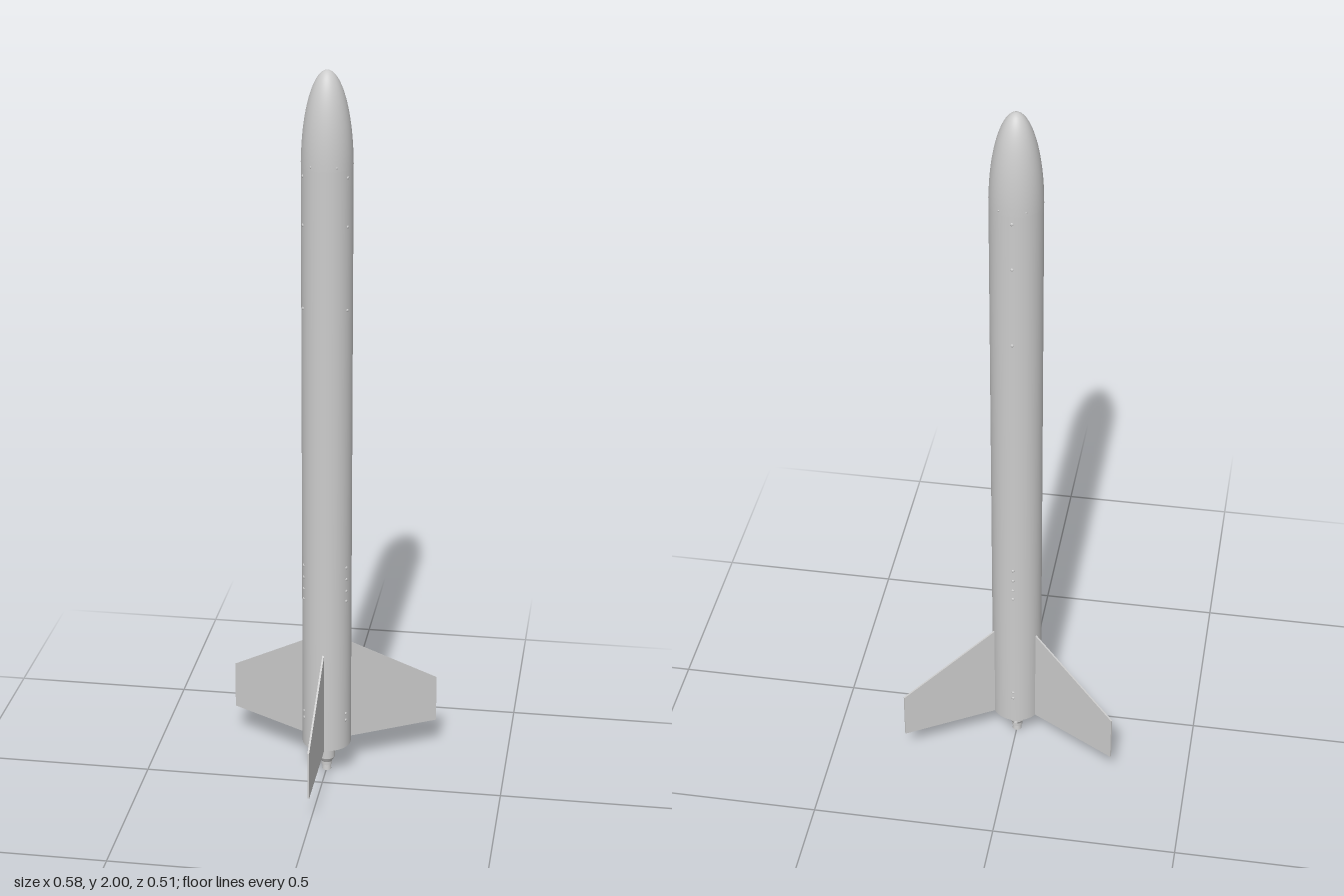
import * as THREE from 'three';

const R = 0.068;          // body radius
const BASE = 0.09;        // height of the body's open tail
const NOSE = 1.75;        // where the nose cone begins

export function createModel() {
  const root = new THREE.Group();
  root.name = 'rocket';
  const axis = new THREE.Group();   // everything sits around the body axis
  axis.name = 'airframe';
  axis.position.z = -0.085;
  root.add(axis);

  const grey = new THREE.MeshStandardMaterial({ color: 0xcccccc });
  const greyDouble = new THREE.MeshStandardMaterial({ color: 0xcccccc, side: THREE.DoubleSide });
  const add = (name, geometry, parent = axis, material = grey) => {
    const mesh = new THREE.Mesh(geometry, material);
    mesh.name = name;
    parent.add(mesh);
    return mesh;
  };
  const lathe = (points, segments = 48) =>
    new THREE.LatheGeometry(points.map(([r, y]) => new THREE.Vector2(r, y)), segments);

  // Body tube
  const tube = add('bodyTube', new THREE.CylinderGeometry(R, R, NOSE - BASE, 64, 1, true));
  tube.position.y = (NOSE + BASE) / 2;

  // Half-ellipse nose cone
  const nose = [];
  for (let i = 0; i <= 20; i++) {
    const a = (i / 20) * Math.PI / 2;
    nose.push([Math.max(0, R * Math.cos(a)), NOSE + 0.25 * Math.sin(a)]);
  }
  add('noseCone', lathe(nose, 64));

  // Open tail: flat rim and a hollow funnel up to the motor
  add('tailRim', new THREE.RingGeometry(0.062, R, 64).rotateX(Math.PI / 2).translate(0, BASE, 0));
  add('tailRecess', lathe([[0.062, BASE], [0.06, 0.1], [0.022, 0.16]]), axis, greyDouble);

  // Motor case with stepped nozzle
  const motor = new THREE.Group();
  motor.name = 'motor';
  axis.add(motor);
  const stack = [ // name, top radius, bottom radius, top, bottom
    ['motorCase', 0.023, 0.023, 0.17, 0.04],
    ['motorTaper', 0.023, 0.015, 0.04, 0.026],
    ['nozzleNeck', 0.015, 0.015, 0.026, 0.016],
    ['nozzle', 0.011, 0.013, 0.016, 0],
  ];
  for (const [name, top, bottom, y1, y0] of stack) {
    add(name, new THREE.CylinderGeometry(top, bottom, y1 - y0, 32), motor)
      .position.y = (y1 + y0) / 2;
  }
  const fitting = add('motorFitting', new THREE.CylinderGeometry(0.006, 0.006, 0.014, 16), motor);
  fitting.rotation.x = Math.PI / 2;
  fitting.position.set(0, 0.038, -0.024);

  // Three clipped fins, the first facing forward
  const finShape = new THREE.Shape([
    [R - 0.003, BASE], [0.336, BASE], [0.336, 0.225], [R - 0.003, 0.388],
  ].map(([x, y]) => new THREE.Vector2(x, y)));
  const finGeometry = new THREE.ExtrudeGeometry(finShape, { depth: 0.005, bevelEnabled: false });
  finGeometry.translate(0, 0, -0.0025).rotateY(-Math.PI / 2);

  // Rows of bolts midway between the fins
  const boltGeometry = new THREE.SphereGeometry(0.0045, 12, 6, 0, Math.PI * 2, 0, Math.PI / 2);
  boltGeometry.scale(1, 0.6, 1).rotateX(Math.PI / 2);
  const boltHeights = [1.73, 1.6, 1.375, 0.64, 0.605, 0.57, 0.54, 0.195, 0.175];

  for (let i = 0; i < 3; i++) {
    const turn = (i * 2 * Math.PI) / 3;
    add('fin', finGeometry).rotation.y = turn;

    const row = new THREE.Group();
    row.name = 'boltRow';
    row.rotation.y = turn + Math.PI / 3;
    axis.add(row);
    for (const y of boltHeights) add('bolt', boltGeometry, row).position.set(0, y, R - 0.0003);
  }

  // Ring of small bolts fixing the nose cone
  for (let i = 0; i < 6; i++) {
    const a = (i + 0.5) * Math.PI / 3;
    const bolt = add('noseBolt', boltGeometry);
    bolt.scale.setScalar(0.6);
    bolt.position.set(R * Math.sin(a), 1.76, R * Math.cos(a));
    bolt.rotation.y = a;
  }
  return root;
}
